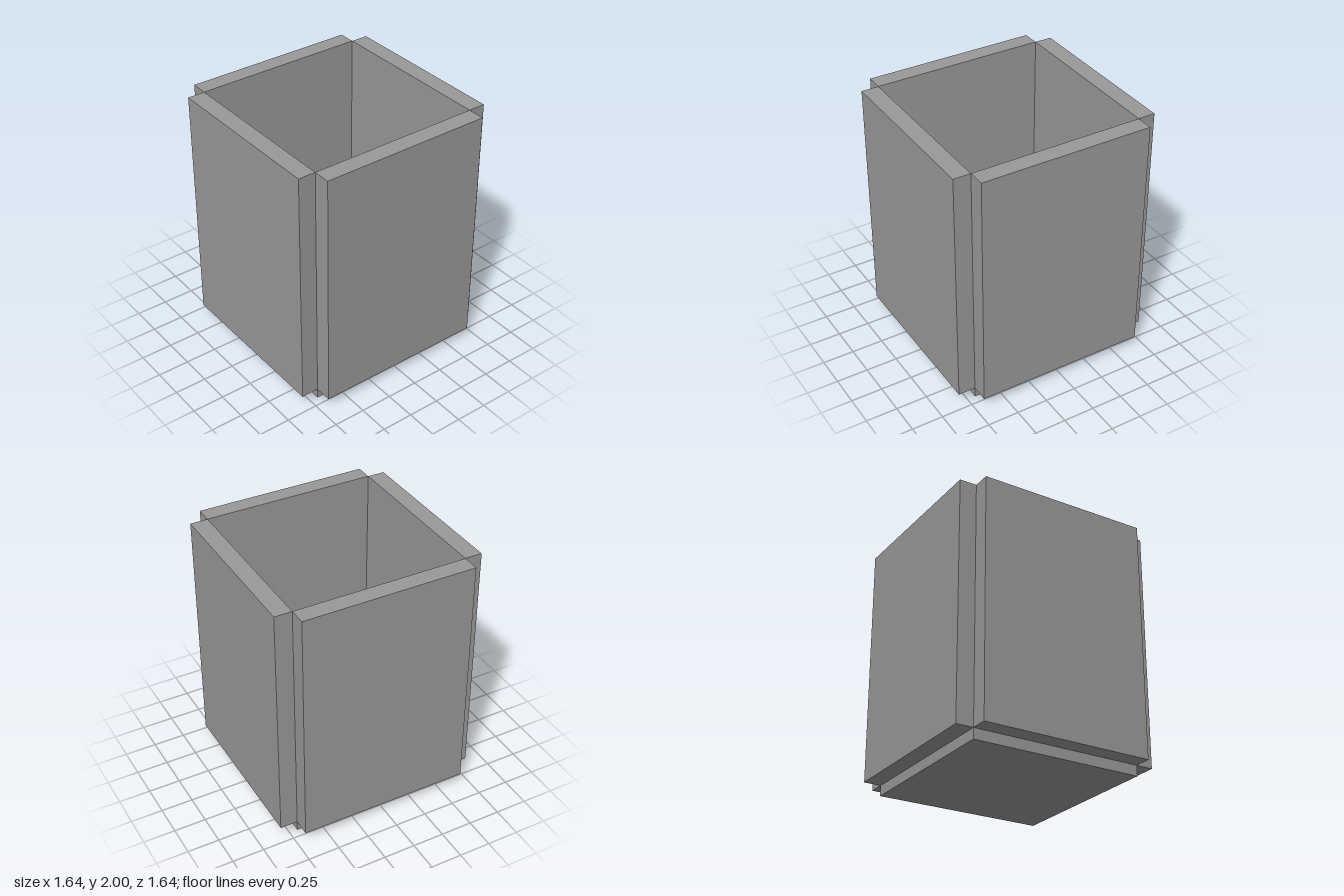
import * as THREE from 'three';

export function createModel() {
  const group = new THREE.Group();
  group.name = 'openBox';
  const grey = new THREE.MeshStandardMaterial({ color: 0x999999 });
  grey.name = 'grey';

  const inner = 1.37;      // inside width, also the width of each panel
  const thick = 0.137;     // wall thickness
  const floorHeight = 0.083;
  const wallHeight = 2 - floorHeight;

  // Square floor slab below the walls
  const floor = new THREE.Mesh(new THREE.BoxGeometry(inner, floorHeight, inner), grey);
  floor.name = 'floor';
  floor.position.y = floorHeight / 2;
  group.add(floor);

  // Four identical walls around the floor, leaving the corners notched
  const wallGeometry = new THREE.BoxGeometry(inner, wallHeight, thick);
  const offset = (inner + thick) / 2;
  ['frontWall', 'leftWall', 'backWall', 'rightWall'].forEach((name, i) => {
    const angle = (i * Math.PI) / 2;
    const wall = new THREE.Mesh(wallGeometry, grey);
    wall.name = name;
    wall.position.set(Math.sin(angle) * offset, floorHeight + wallHeight / 2, Math.cos(angle) * offset);
    wall.rotation.y = angle;
    group.add(wall);
  });

  return group;
}
